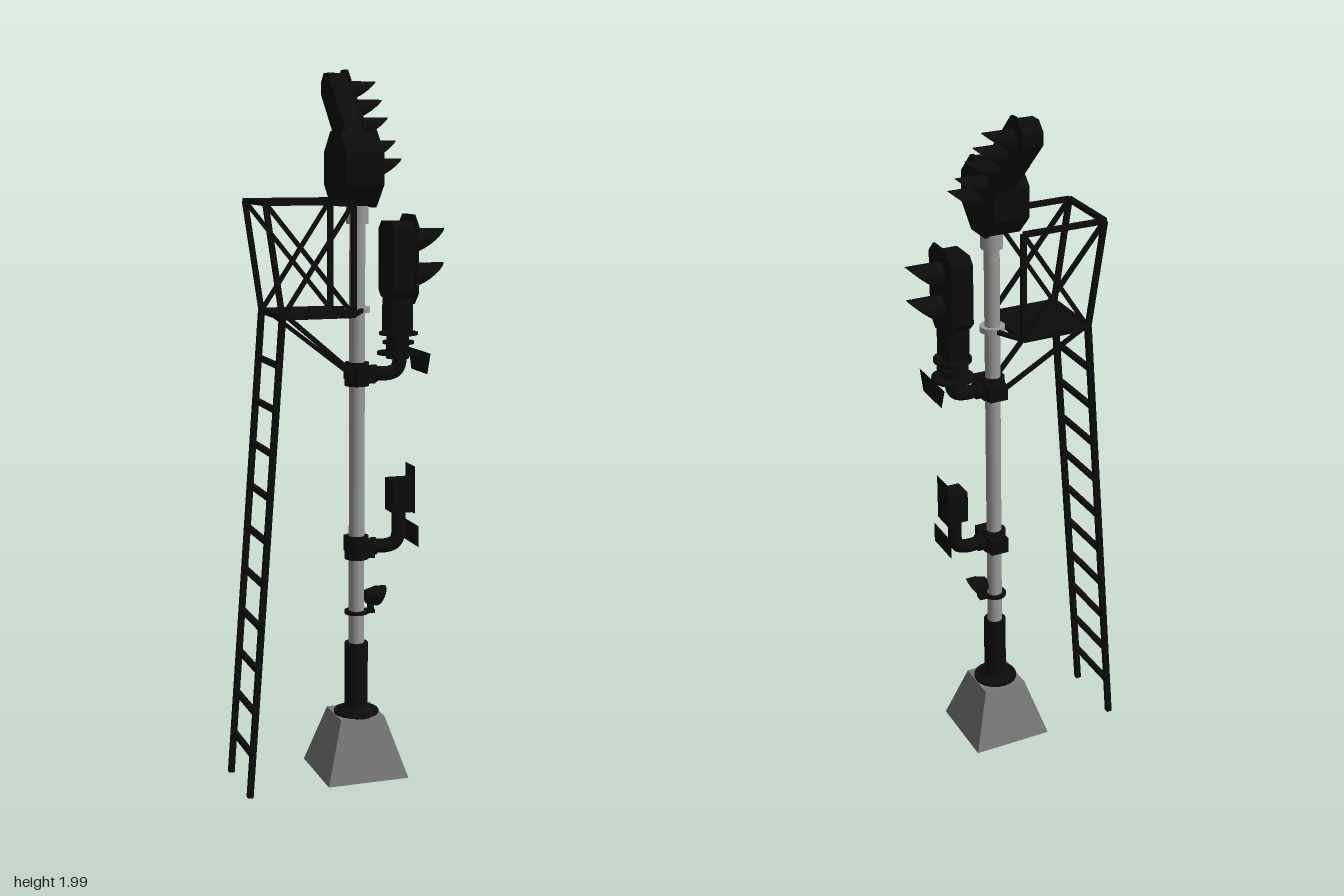
import * as THREE from 'three';
import { mergeGeometries } from 'three/addons/utils/BufferGeometryUtils.js';

const PX = 0.05, PZ = 0.082; // pole axis
const black = new THREE.MeshStandardMaterial({ color: 0x0c0c0c });
const blackFlat = new THREE.MeshStandardMaterial({ color: 0x0c0c0c, side: THREE.DoubleSide });
const steel = new THREE.MeshStandardMaterial({ color: 0x999999 });
const concrete = new THREE.MeshStandardMaterial({ color: 0x777777, flatShading: true });
const lensMat = new THREE.MeshStandardMaterial({ color: 0xcccccc });
const V = (x, y, z) => new THREE.Vector3(x, y, z);

export function createModel() {
  const root = new THREE.Group();
  const add = (name, geo, mat = black, parent = root) => {
    const m = new THREE.Mesh(geo, mat);
    m.name = name;
    parent.add(m);
  };
  const group = (name) => {
    const g = new THREE.Group();
    g.name = name;
    root.add(g);
    return g;
  };
  // Upright cylinder between two heights
  const post = (x, z, y0, y1, r0, r1 = r0) =>
    new THREE.CylinderGeometry(r1, r0, y1 - y0, 20).translate(x, (y0 + y1) / 2, z);
  const box = (x0, x1, y0, y1, z0, z1) =>
    new THREE.BoxGeometry(x1 - x0, y1 - y0, z1 - z0)
      .translate((x0 + x1) / 2, (y0 + y1) / 2, (z0 + z1) / 2);
  // Square bar from a to b
  const bar = (a, b, t = 0.014) => {
    const g = new THREE.BoxGeometry(t, t, a.distanceTo(b));
    const m = new THREE.Matrix4().lookAt(b, a, V(0.01, 1, 0));
    return g.applyMatrix4(m).translate((a.x + b.x) / 2, (a.y + b.y) / 2, (a.z + b.z) / 2);
  };
  const outline = (pts) => new THREE.Shape(pts.map((p) => new THREE.Vector2(...p)));
  // Panel with cut corners facing +x, from x0 to x1, optionally tilted
  const panel = (w, h, c, x0, x1, y, z, tilt = 0) => {
    const a = w / 2, b = h / 2;
    const s = outline([[a, c - b], [a, b - c], [a - c, b], [c - a, b],
      [-a, b - c], [-a, c - b], [c - a, -b], [a - c, -b]]);
    return new THREE.ExtrudeGeometry(s, { depth: x1 - x0, bevelEnabled: false })
      .rotateZ(-tilt).rotateY(Math.PI / 2).translate(x0, y, z);
  };
  // Hood: open tube along +x, long on top and short below
  const hood = (x, y, z, r, len) => {
    const g = new THREE.CylinderGeometry(r, r, 1, 24, 1, true).rotateZ(-Math.PI / 2);
    const p = g.attributes.position;
    for (let i = 0; i < p.count; i++) {
      const up = THREE.MathUtils.clamp((p.getY(i) / r + 1) / 2, 0, 1);
      p.setX(i, p.getX(i) > 0 ? len * (0.12 + 0.88 * Math.pow(up, 0.8)) : 0);
    }
    g.computeVertexNormals();
    return g.translate(x, y, z);
  };
  const light = (parent, x, y, z, r, len) => {
    add('lightHood', hood(x, y, z, r, len), blackFlat, parent);
    add('lens', new THREE.CylinderGeometry(r * 0.8, r * 0.8, 0.012, 24)
      .rotateZ(Math.PI / 2).translate(x + 0.003, y, z), lensMat, parent);
  };

  // Foundation: tapered square block
  add('foundation', new THREE.CylinderGeometry(0.065 * Math.SQRT2, 0.119 * Math.SQRT2, 0.172, 4, 1)
    .rotateY(Math.PI / 4).translate(PX, 0.096, 0.077), concrete);

  // Pole
  add('baseFlange', post(PX, PZ, 0.18, 0.19, 0.064));
  add('baseCone', post(PX, PZ, 0.19, 0.205, 0.05, 0.034));
  add('baseSleeve', post(PX, PZ, 0.19, 0.39, 0.033));
  add('pole', post(PX, PZ, 0.38, 1.66, 0.022), steel);
  add('poleCollar', post(PX, PZ, 1.575, 1.622, 0.031), steel);
  add('platformClamp', post(PX, PZ, 1.332, 1.348, 0.036), steel);

  // Main octagonal head
  const head = group('routeHead');
  add('octagonBody', panel(0.2, 0.2, 0.058, -0.014, 0.08, 1.724, PZ), black, head);
  add('octagonPlate', panel(0.208, 0.208, 0.061, 0.08, 0.09, 1.724, PZ), black, head);

  // Diagonal arm with its row of lights
  const k = Math.SQRT1_2, arm = (d) => [1.725 + d * k, PZ - d * k];
  add('armBody', panel(0.085, 0.285, 0.025, 0.03, 0.085, ...arm(0.21), Math.PI / 4), black, head);
  add('armPlate', panel(0.097, 0.29, 0.028, 0.083, 0.091, ...arm(0.218), Math.PI / 4), black, head);
  for (const d of [0, 0.068, 0.158, 0.228, 0.302]) light(head, 0.091, ...arm(d), 0.026, 0.085);

  // Lower two-light head
  const low = group('lowerHead');
  add('headBody', panel(0.122, 0.21, 0.02, 0.134, 0.2, 1.475, PZ), black, low);
  add('backPlate', panel(0.148, 0.245, 0.03, 0.197, 0.203, 1.477, PZ), black, low);
  add('headNeck', box(0.138, 0.2, 1.275, 1.38, 0.042, 0.122), black, low);
  for (const y of [1.432, 1.527]) light(low, 0.203, y, PZ, 0.033, 0.1);
  add('mountStem', post(0.17, PZ, 1.2, 1.28, 0.032), black, low);
  for (const [y, r] of [[1.27, 0.054], [1.245, 0.044], [1.215, 0.06]])
    add('mountDisc', post(0.172, PZ, y - 0.004, y + 0.004, r), black, low);

  // Elbow brackets with clamps
  for (const [y, top] of [[1.16, 1.215], [0.667, 0.77]]) {
    const g = group('bracket');
    add('clamp', post(PX, PZ, y - 0.032, y + 0.034, 0.034), black, g);
    add('clampBlock', box(0.03, 0.085, y - 0.02, y + 0.025, 0.025, 0.139), black, g);
    const path = new THREE.CatmullRomCurve3([[0.06, y], [0.1, y], [0.145, y], [0.166, y + 0.009],
      [0.175, y + 0.03], [0.175, top]].map(([px, py]) => V(px, py, PZ)));
    add('elbowPipe', new THREE.TubeGeometry(path, 32, 0.02, 14), black, g);
    add('elbowRing', new THREE.CylinderGeometry(0.025, 0.025, 0.012, 16)
      .rotateZ(Math.PI / 2).translate(0.1, y, PZ), black, g);
  }

  // Thin sign plates
  const plate = (w, h, x, y) => new THREE.PlaneGeometry(w, h).rotateY(Math.PI / 2).translate(x, y, PZ + 0.004);
  const taper = outline([[-0.085, 0.03], [-0.062, -0.03], [0.062, -0.03], [0.085, 0.03]]);
  add('taperedSign', new THREE.ShapeGeometry(taper).rotateY(Math.PI / 2).translate(0.235, 1.19, PZ), blackFlat);
  add('lowerSign', plate(0.12, 0.06, 0.212, 0.7), blackFlat);

  // Indicator box
  add('indicatorBox', box(0.145, 0.207, 0.765, 0.858, 0.055, 0.118));
  add('indicatorPlate', plate(0.076, 0.136, 0.209, 0.829), blackFlat);

  // Small lamp
  const lamp = group('smallLamp');
  add('lampClamp', post(PX, PZ, 0.475, 0.484, 0.034), black, lamp);
  add('lampArm', box(0.07, 0.102, 0.474, 0.484, 0.07, 0.094), black, lamp);
  add('lampStem', box(0.085, 0.1, 0.48, 0.52, 0.072, 0.092), black, lamp);
  add('lampBody', new THREE.CylinderGeometry(0.028, 0.02, 0.03, 20)
    .rotateZ(-Math.PI / 2).translate(0.093, 0.521, PZ), black, lamp);
  add('lampHood', hood(0.105, 0.521, PZ, 0.028, 0.032), blackFlat, lamp);

  // Ladder
  const zs = [-0.02, 0.184], railX = (y) => -0.295 + 0.1 * y / 1.335;
  const ladder = zs.map((z) => bar(V(-0.295, 0.005, z), V(-0.195, 1.335, z), 0.016));
  for (let i = 0; i < 10; i++) {
    const y = 0.125 + i * 0.12;
    ladder.push(bar(V(railX(y), y, zs[0]), V(railX(y), y, zs[1])));
  }
  add('ladder', mergeGeometries(ladder));

  // Platform cage: side frames with cross braces, end rails and struts
  const cage = [];
  for (const z of zs) {
    const a = V(-0.195, 1.335, z), b = V(-0.24, 1.637, z), c = V(0.005, 1.637, z), d = V(0.005, 1.335, z);
    cage.push(bar(a, b), bar(b, c), bar(c, d), bar(d, a), bar(a, c, 0.011), bar(b, d, 0.011));
    const zIn = PZ + (z - PZ) * 0.35;
    cage.push(bar(V(-0.18, 1.335, z), V(0.03, 1.165, zIn), 0.011), bar(d, V(0.05, 1.34, zIn), 0.011));
  }
  for (const [x, y] of [[-0.195, 1.335], [-0.24, 1.637], [0.005, 1.335]])
    cage.push(bar(V(x, y, zs[0]), V(x, y, zs[1])));
  add('platformCage', mergeGeometries(cage));

  // Platform floor slats
  const slats = [];
  for (let i = 0; i < 8; i++) {
    const z = PZ + (i - 3.5) * 0.0235;
    slats.push(box(-0.195, 0.005, 1.33, 1.34, z - 0.006, z + 0.006));
  }
  add('platformFloor', mergeGeometries(slats));
  return root;
}
